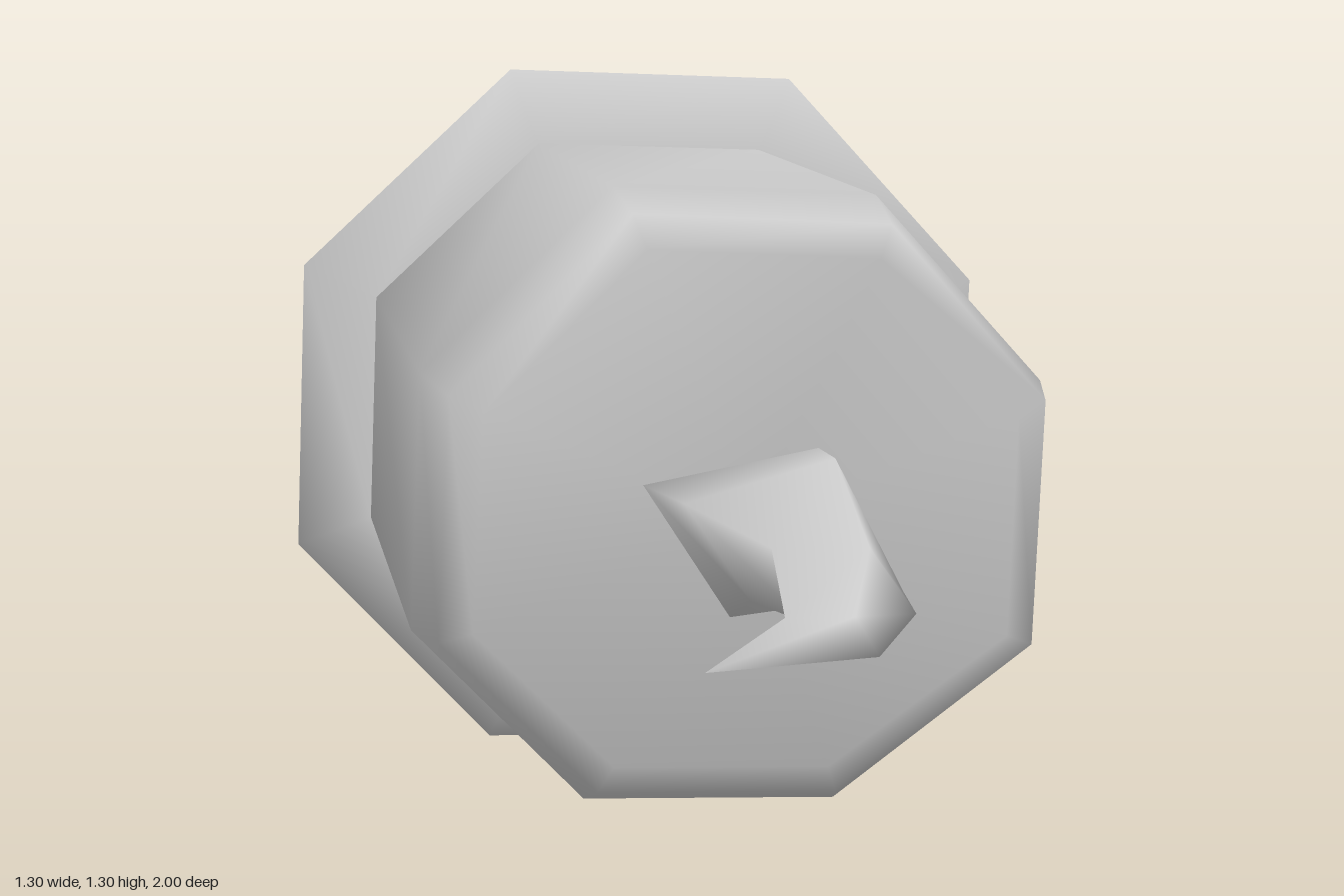
import * as THREE from 'three';

const CY = 0.648; // height of the candle's axis

// Smooth skin over rings listed back to front, each counterclockwise seen from +z.
// A ring of one point closes an end.
function loft(name, rings, material) {
  const n = Math.max(...rings.map((r) => r.length));
  const points = [], start = [], index = [];
  for (const ring of rings) {
    start.push(points.length / 3);
    for (const p of ring) points.push(...p);
  }
  const at = (r, i) => start[r] + (i % n) % rings[r].length;
  for (let r = 0; r < rings.length - 1; r++) {
    for (let i = 0; i < n; i++) {
      const a = at(r, i), b = at(r, i + 1), c = at(r + 1, i + 1), d = at(r + 1, i);
      if (a !== b) index.push(a, b, c);
      if (c !== d) index.push(a, c, d);
    }
  }
  const geometry = new THREE.BufferGeometry();
  geometry.setAttribute('position', new THREE.Float32BufferAttribute(points, 3));
  geometry.setIndex(index);
  geometry.computeVertexNormals();
  const mesh = new THREE.Mesh(geometry, material);
  mesh.name = name;
  return mesh;
}

// Octagon around the candle axis; z is one value or one per corner
function octagon(radius, z) {
  return Array.from({ length: 8 }, (_, i) => {
    const a = THREE.MathUtils.degToRad(20 + 45 * i);
    return [radius * Math.cos(a), CY + radius * Math.sin(a), Array.isArray(z) ? z[i] : z];
  });
}

export function createModel() {
  const group = new THREE.Group();
  const material = new THREE.MeshStandardMaterial({ color: 0xcccccc, side: THREE.DoubleSide });

  // Flared foot and its flat underside
  group.add(loft('foot', [octagon(0.61, -1), octagon(0.69, -0.87), octagon(0.545, -0.853)], material));
  group.add(loft('footBottom', [[[0, CY, -1]], octagon(0.61, -1)], material));

  // Wax body with an uneven, melted rim
  const rim = [0.26, 0.32, 0.265, 0.315, 0.265, 0.13, 0.13, 0.265];
  const shoulder = [0.09, 0.12, 0.1, 0.12, 0.09, 0.03, 0.03, 0.08];
  group.add(loft('waxBody', [
    octagon(0.545, -0.86),
    octagon(0.552, shoulder),
    octagon(0.52, rim.map((z) => z - 0.03)),
    octagon(0.465, rim),
    [[0, CY, 0.25]],
  ], material));

  // Bent wick
  const wickPath = new THREE.CatmullRomCurve3([
    new THREE.Vector3(0.02, 0.645, 0.22),
    new THREE.Vector3(0.02, 0.65, 0.295),
    new THREE.Vector3(0, 0.66, 0.325),
    new THREE.Vector3(-0.01, 0.65, 0.37),
  ]);
  const wick = new THREE.Mesh(new THREE.TubeGeometry(wickPath, 6, 0.018, 5), material);
  wick.name = 'wick';
  group.add(wick);

  // Four-sided flame, curling to a point
  group.add(loft('flame', [
    [[0, 0.655, 0.345]],
    [[-0.16, 0.71, 0.37], [-0.05, 0.6, 0.38], [0.14, 0.61, 0.39], [0.04, 0.7, 0.34]],
    [[-0.2, 0.755, 0.47], [-0.07, 0.55, 0.48], [0.185, 0.6, 0.47], [0.065, 0.805, 0.48]],
    [[-0.16, 0.75, 0.6], [-0.06, 0.6, 0.6], [0.17, 0.605, 0.6], [0.065, 0.81, 0.6]],
    [[-0.05, 0.7, 0.7], [0, 0.59, 0.71], [0.165, 0.595, 0.7], [0.09, 0.7, 0.72]],
    [[-0.05, 0.62, 0.8], [-0.02, 0.565, 0.81], [0.085, 0.56, 0.81], [0.05, 0.62, 0.81]],
    [[-0.2, 0.595, 1]],
  ], material));

  return group;
}
